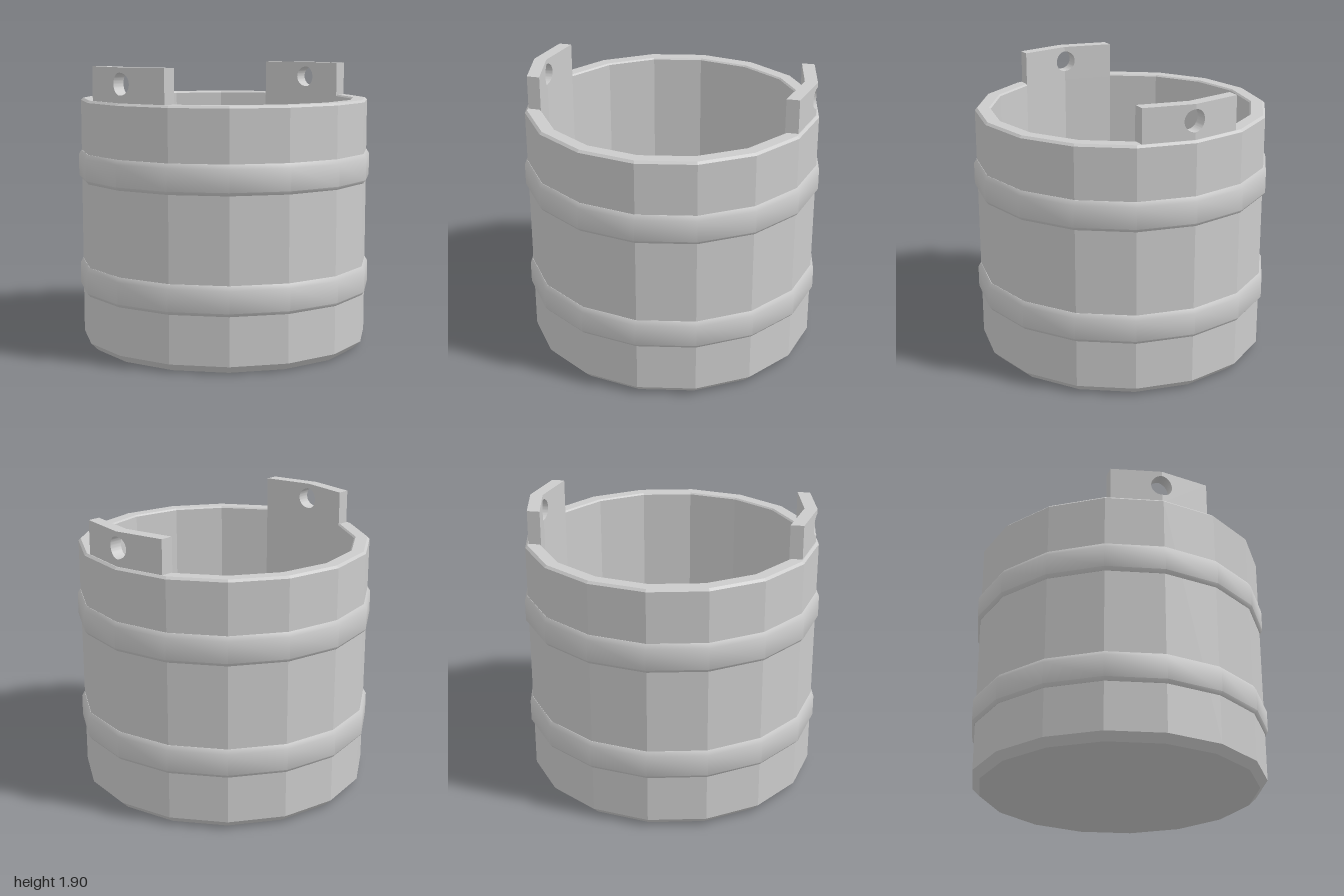
import * as THREE from 'three';
import { toCreasedNormals } from 'three/addons/utils/BufferGeometryUtils.js';

const SIDES = 16;
const SLOPE = Math.tan(Math.PI / SIDES); // slant of a wall panel beside the x axis

const flat = new THREE.MeshStandardMaterial({ color: 0xcccccc, flatShading: true });
const smooth = new THREE.MeshStandardMaterial({ color: 0xcccccc });

function lathe(profile) {
  return new THREE.LatheGeometry(profile.map(([r, y]) => new THREE.Vector2(r, y)), SIDES);
}

function add(parent, name, geometry, material) {
  const mesh = new THREE.Mesh(geometry, material);
  mesh.name = name;
  parent.add(mesh);
  return mesh;
}

// One half of an ear: a plate with half of the handle hole, bent to follow the wall
function earHalf(side) {
  const holeY = 1.795, holeR = 0.072, halfWidth = 0.335, bottom = 1.66, top = 1.9;
  const shape = new THREE.Shape();
  shape.moveTo(0, bottom);
  shape.lineTo(side * halfWidth, bottom);
  shape.lineTo(side * halfWidth, top);
  shape.lineTo(0, top);
  shape.lineTo(0, holeY + holeR);
  shape.absarc(0, holeY, holeR, Math.PI / 2, side > 0 ? -Math.PI / 2 : Math.PI * 1.5, side > 0);
  const geo = new THREE.ExtrudeGeometry(shape, { depth: 0.085, bevelEnabled: false, curveSegments: 16 });
  geo.rotateY(Math.PI / 2);
  const p = geo.attributes.position;
  for (let i = 0; i < p.count; i++) {
    p.setX(i, p.getX(i) + 0.875 - SLOPE * Math.abs(p.getZ(i)));
  }
  return toCreasedNormals(geo, 0.35);
}

export function createModel() {
  const bucket = new THREE.Group();
  bucket.name = 'bucket';

  // Hollow faceted body with chamfered foot and rim
  add(bucket, 'body', lathe([
    [0, 0], [0.93, 0], [0.98, 0.05], [0.98, 1.66], [0.965, 1.675],
    [0.885, 1.675], [0.875, 1.665], [0.875, 0.1], [0, 0.1],
  ]), flat);

  // Two hoops around the body
  [['lowerHoop', 0.37], ['upperHoop', 1.125]].forEach(([name, y]) => {
    const geo = lathe([
      [0.96, y], [0.982, y], [1, y + 0.022], [1, y + 0.165], [0.982, y + 0.195], [0.96, y + 0.195],
    ]);
    add(bucket, name, toCreasedNormals(geo, 0.68), smooth);
  });

  // Pierced ears for a handle, one on each side
  ['leftEar', 'rightEar'].forEach((name, i) => {
    const ear = new THREE.Group();
    ear.name = name;
    add(ear, 'earFrontHalf', earHalf(-1), smooth);
    add(ear, 'earBackHalf', earHalf(1), smooth);
    ear.rotation.y = i * Math.PI;
    bucket.add(ear);
  });

  return bucket;
}
